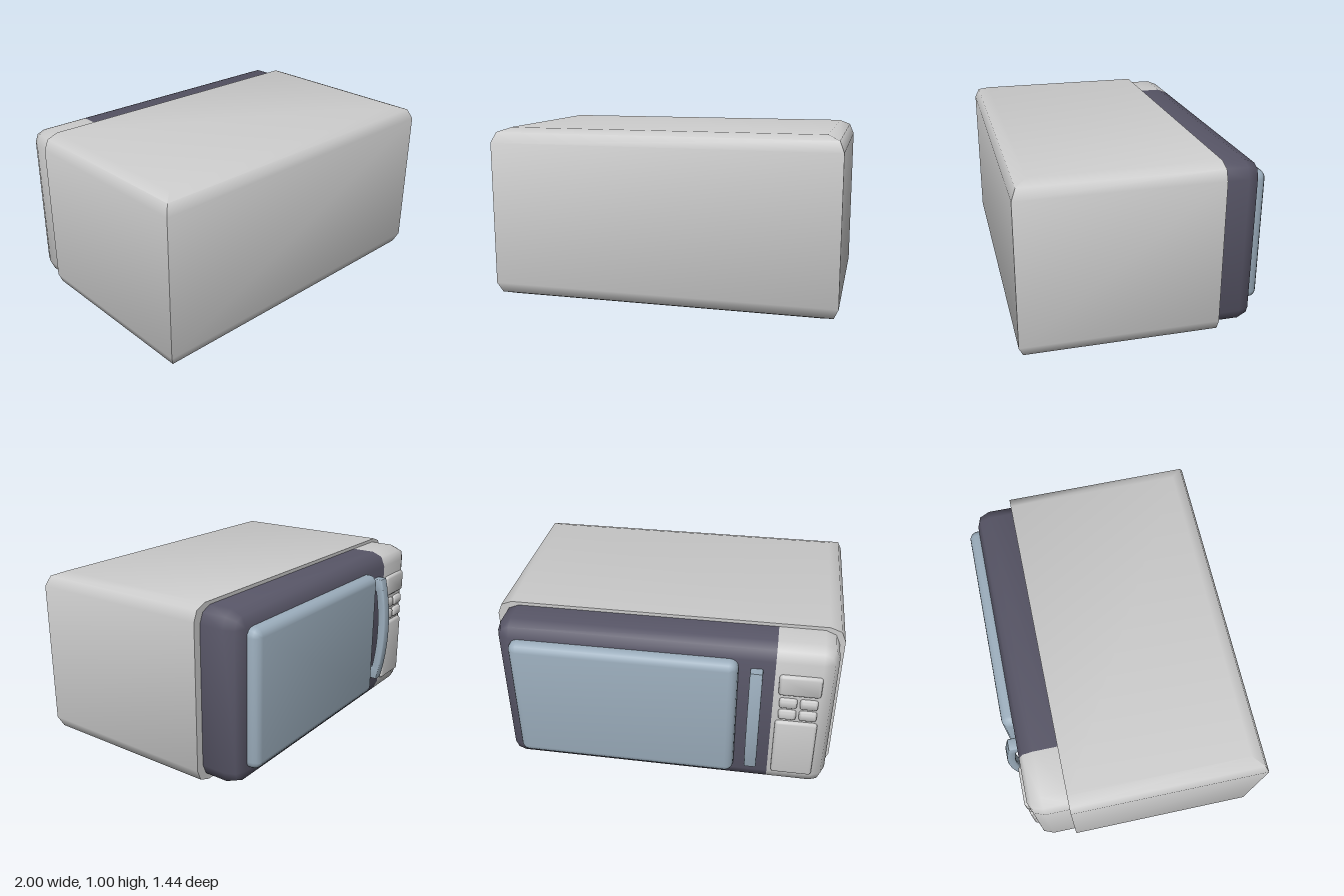
import * as THREE from 'three';
import { toCreasedNormals } from 'three/addons/utils/BufferGeometryUtils.js';

const mat = (name, color) => Object.assign(new THREE.MeshStandardMaterial({ color }), { name });

// Rounded rectangle, counter-clockwise; rl and rr are the corner radii at its left and right ends
function ring(x0, x1, y0, y1, rl, rr, z, seg) {
  const corners = [[x1 - rr, y0 + rr, rr, -1], [x1 - rr, y1 - rr, rr, 0], [x0 + rl, y1 - rl, rl, 1], [x0 + rl, y0 + rl, rl, 2]];
  const pts = [];
  for (const [cx, cy, r, q] of corners) {
    for (let i = 0; i <= seg; i++) {
      const a = (q + i / seg) * Math.PI / 2;
      pts.push(new THREE.Vector3(cx + r * Math.cos(a), cy + r * Math.sin(a), z));
    }
  }
  return pts;
}

// Closed skin through convex rings stacked along +z, skipping empty triangles
function loft(rings) {
  const pos = [], n = rings[0].length;
  const tri = (a, b, c) => {
    if (new THREE.Triangle(a, b, c).getArea() > 1e-8) for (const p of [a, b, c]) pos.push(p.x, p.y, p.z);
  };
  for (let k = 0; k < rings.length - 1; k++) {
    const a = rings[k], b = rings[k + 1];
    for (let i = 0; i < n; i++) {
      const j = (i + 1) % n;
      tri(a[i], a[j], b[j]);
      tri(a[i], b[j], b[i]);
    }
  }
  const first = rings[0], last = rings[rings.length - 1];
  for (let i = 1; i < n - 1; i++) {
    tri(first[0], first[i + 1], first[i]);
    tri(last[0], last[i], last[i + 1]);
  }
  const g = new THREE.BufferGeometry();
  g.setAttribute('position', new THREE.Float32BufferAttribute(pos, 3));
  return toCreasedNormals(g, 1.05);
}

// Plate on the door side (facing -z) with its outer edges rounded by radius r;
// roundLow / roundHigh choose which x ends are rounded
function plate(x0, x1, y0, y1, back, front, r, seg, roundLow = true, roundHigh = true) {
  const levels = [[back, 0]];
  for (let i = 0; i <= seg; i++) {
    const a = i / seg * Math.PI / 2;
    levels.push([front - r + r * Math.sin(a), r * (1 - Math.cos(a))]);
  }
  // The loft is built facing +z, then turned around, so x is mirrored here
  const rings = levels.map(([z, d]) => ring(
    -x1 + (roundHigh ? d : 0), -x0 - (roundLow ? d : 0), y0 + d, y1 - d,
    roundHigh ? Math.max(r - d, 0) : 0, roundLow ? Math.max(r - d, 0) : 0, z, seg));
  return loft(rings).rotateY(Math.PI);
}

export function createModel() {
  const model = new THREE.Group();
  const grey = mat('lightMetal', 0xcccccc);
  const dark = mat('darkMetal', 0x575566);
  const blue = mat('blueMetal', 0x9badbc);
  const add = (name, geometry, material) => {
    const m = new THREE.Mesh(geometry, material);
    m.name = name;
    model.add(m);
  };

  // Casing: rectangles stacked upwards, flat on the door side
  const levels = [[0, 0.09], [0.025, 0.025], [0.085, 0], [0.92, 0], [0.98, 0.025], [1.005, 0.09]];
  add('casing', loft(levels.map(([y, d]) => ring(-1 + d, 1 - d, -0.72 + d, 0.4, 0, 0, y, 1))).rotateX(-Math.PI / 2), grey);

  // Front panel in two halves: door and control panel
  add('door', plate(-0.63, 0.955, 0.02, 0.985, 0.39, 0.625, 0.085, 2, false, true), dark);
  add('controlPanel', plate(-0.97, -0.63, 0.02, 0.985, 0.39, 0.625, 0.085, 2, true, false), grey);

  // Door window
  add('window', plate(-0.43, 0.865, 0.11, 0.9, 0.61, 0.69, 0.05, 4), blue);

  // Bowed handle with a foot at each end
  const s = new THREE.Shape();
  s.moveTo(0.61, 0.18);
  s.lineTo(0.67, 0.18);
  s.quadraticCurveTo(0.749, 0.51, 0.67, 0.84);
  s.lineTo(0.61, 0.84);
  s.lineTo(0.61, 0.79);
  s.lineTo(0.65, 0.77);
  s.quadraticCurveTo(0.7, 0.51, 0.65, 0.25);
  s.lineTo(0.61, 0.23);
  const handle = new THREE.ExtrudeGeometry(s, {
    depth: 0.054, bevelEnabled: true, bevelSize: 0.008, bevelThickness: 0.008, bevelSegments: 2, curveSegments: 12,
  }).rotateY(Math.PI / 2).translate(-0.557, 0, 0);
  add('handle', toCreasedNormals(handle, 0.8), blue);

  // Display, four buttons and the large opening key
  add('display', plate(-0.89, -0.655, 0.69, 0.825, 0.61, 0.645, 0.018, 3), grey);
  for (const [x0, x1] of [[-0.765, -0.665], [-0.88, -0.78]]) {
    for (const y of [0.602, 0.522]) add('button', plate(x0, x1, y, y + 0.065, 0.61, 0.645, 0.016, 3), grey);
  }
  add('openKey', plate(-0.89, -0.652, 0.115, 0.505, 0.61, 0.645, 0.018, 3), grey);

  return model;
}
